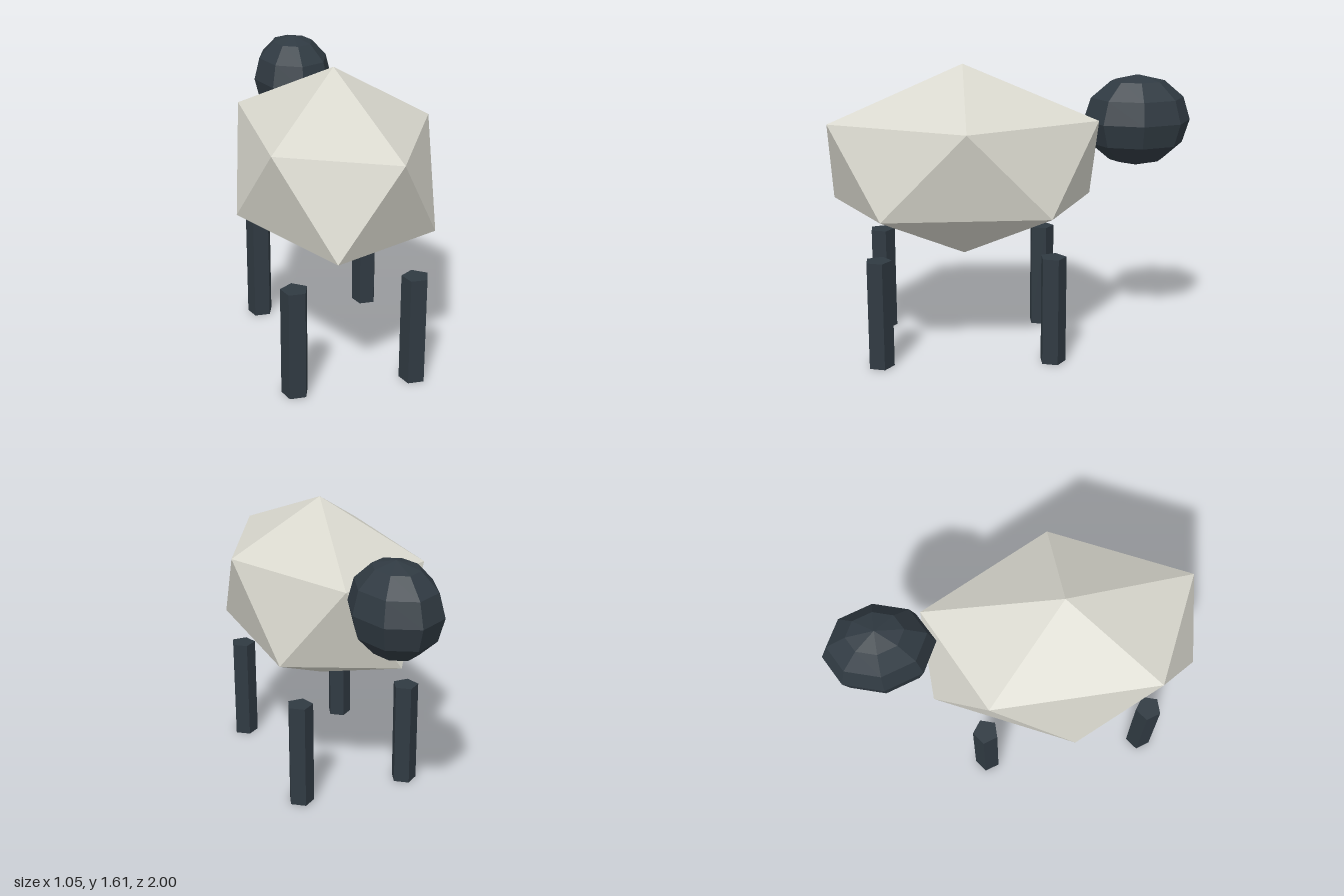
import * as THREE from 'three';

const wool = new THREE.MeshStandardMaterial({ color: 0xd8d7cd, flatShading: true });
wool.name = 'pale wool';
const dark = new THREE.MeshStandardMaterial({ color: 0x303a42, flatShading: true });
dark.name = 'dark slate';

// Twenty-sided body: two staggered five-point rings between a top and a bottom point
function bodyGeometry(rx, ry, rz) {
  const ring = (k, turn, y) => {
    const a = (k + turn) * Math.PI * 2 / 5;
    return [Math.cos(a) * rx, y, Math.sin(a) * rz];
  };
  const ringY = ry / Math.sqrt(5);
  const top = [0, ry, 0], bottom = [0, -ry, 0];
  const points = [];
  for (let k = 0; k < 5; k++) {
    const u = ring(k, 0, ringY), uNext = ring(k + 1, 0, ringY);
    const l = ring(k, 0.5, -ringY), lPrev = ring(k - 1, 0.5, -ringY);
    points.push(top, uNext, u);
    points.push(u, uNext, l);
    points.push(u, l, lPrev);
    points.push(lPrev, l, bottom);
  }
  const geometry = new THREE.BufferGeometry();
  geometry.setAttribute('position', new THREE.Float32BufferAttribute(points.flat(), 3));
  geometry.computeVertexNormals();
  return geometry;
}

export function createModel() {
  const model = new THREE.Group();
  model.name = 'sheep';

  const add = (name, geometry, material, x, y, z) => {
    const mesh = new THREE.Mesh(geometry, material);
    mesh.name = name;
    mesh.position.set(x, y, z);
    model.add(mesh);
  };

  add('body', bodyGeometry(0.527, 0.536, 0.77), wool, 0, 1.077, 0.268);

  // Faceted head, longer than wide
  const head = new THREE.SphereGeometry(1, 8, 6).scale(0.235, 0.255, 0.3);
  add('head', head, dark, 0, 1.29, -0.7);

  // Four five-sided legs, each with a flat side towards +z
  const leg = new THREE.CylinderGeometry(0.074, 0.074, 0.602, 5).rotateY(Math.PI);
  for (const [side, x] of [['left', 0.322], ['right', -0.322]]) {
    add(`${side}FrontLeg`, leg, dark, x, 0.301, 0.742);
    add(`${side}BackLeg`, leg, dark, x, 0.301, -0.202);
  }
  return model;
}
